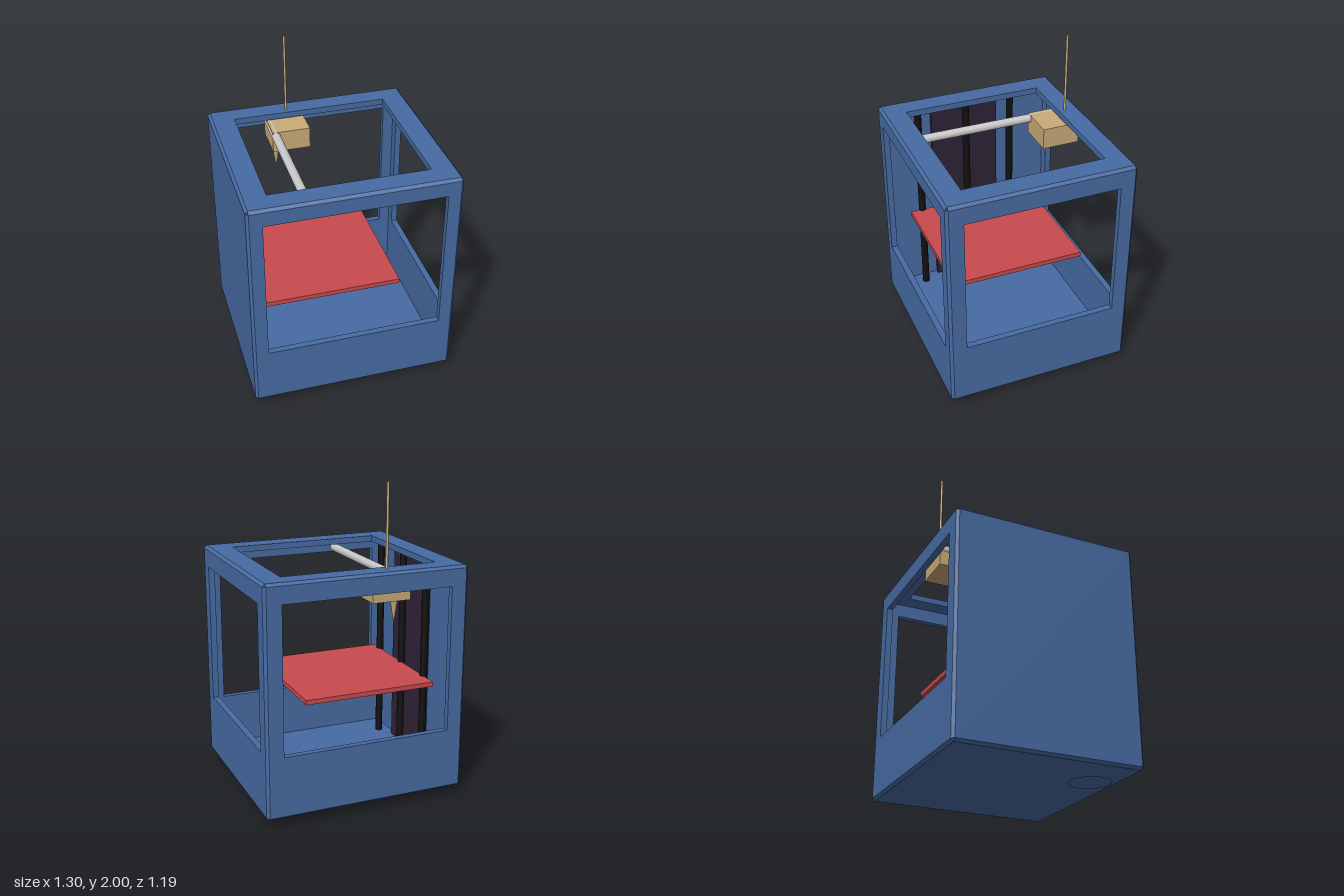
import * as THREE from 'three';

export function createModel() {
  const model = new THREE.Group();
  const mat = (name, color, side = THREE.FrontSide) => {
    const m = new THREE.MeshStandardMaterial({ color, side });
    m.name = name;
    return m;
  };
  const blue = mat('caseBlue', 0x476ba3);
  const red = mat('bedRed', 0xc94a4e);
  const tan = mat('headTan', 0xc9ab78);
  const black = mat('postBlack', 0x101010);
  const plum = mat('panelPlum', 0x2f2336);
  const silver = mat('rodSilver', 0xc8c8c8);

  const add = (name, geometry, material, x = 0, y = 0, z = 0, parent = model) => {
    const mesh = new THREE.Mesh(geometry, material);
    mesh.name = name;
    mesh.position.set(x, y, z);
    parent.add(mesh);
    return mesh;
  };

  // Hollow case: half sizes, wall thickness and edge chamfer
  const X = 0.65, Y = 0.72, Z = 0.597, T = 0.04, C = 0.017;
  const body = new THREE.Group();
  body.name = 'case';
  body.position.y = 0.77;
  model.add(body);

  // Wall plate in the xy plane, outer face at z = 0, with an optional window [x0, y0, x1, y1]
  const rectangle = (target, x0, y0, x1, y1) => {
    target.moveTo(x0, y0).lineTo(x1, y0).lineTo(x1, y1).lineTo(x0, y1).closePath();
    return target;
  };
  const wall = (name, w, h, hole) => {
    const shape = rectangle(new THREE.Shape(), -w + T, -h + T, w - T, h - T);
    if (hole) shape.holes.push(rectangle(new THREE.Path(), ...hole));
    const g = new THREE.ExtrudeGeometry(shape, { depth: T, bevelEnabled: false });
    g.translate(0, 0, -T);
    return add(name, g, blue, 0, 0, 0, body);
  };
  wall('frontWall', X, Y, [-0.555, -0.34, 0.555, 0.61]).position.z = Z;
  const back = wall('backWall', X, Y, [-0.54, -0.325, 0.54, 0.595]);
  back.position.z = -Z;
  back.rotation.y = Math.PI;
  const right = wall('windowSideWall', Z, Y, [-0.49, -0.31, 0.49, 0.59]);
  right.position.x = X;
  right.rotation.y = Math.PI / 2;
  const left = wall('solidSideWall', Z, Y);
  left.position.x = -X;
  left.rotation.y = -Math.PI / 2;
  const top = wall('topWall', X, Z, [-0.498, -0.45, 0.497, 0.455]);
  top.position.y = Y;
  top.rotation.x = -Math.PI / 2;
  const floor = wall('floor', X, Z);
  floor.position.y = -Y;
  floor.rotation.x = Math.PI / 2;

  // Chamfered bars along the twelve edges of the case
  const bar = (a, b, sa, sb, length) => {
    const points = [[a - T, b - T], [a, b - T], [a, b - C], [a - C, b], [a - T, b]]
      .map(([u, v]) => new THREE.Vector2(u * sa, v * sb));
    const depth = 2 * (length - C);
    const g = new THREE.ExtrudeGeometry(new THREE.Shape(points), { depth, bevelEnabled: false });
    return g.translate(0, 0, -depth / 2);
  };
  for (const s of [-1, 1]) {
    for (const t of [-1, 1]) {
      add('depthEdge', bar(X, Y, s, t, Z), blue, 0, 0, 0, body);
      add('widthEdge', bar(Z, Y, s, t, X), blue, 0, 0, 0, body).rotation.y = Math.PI / 2;
      add('uprightEdge', bar(X, Z, s, t, Y), blue, 0, 0, 0, body).rotation.x = Math.PI / 2;
    }
  }

  // Round foot pad under one corner
  add('footPad', new THREE.CircleGeometry(0.126, 32), blue, -0.444, 0, 0.35).rotation.x = Math.PI / 2;

  // Back panel and guide posts on the solid side
  add('guidePanel', new THREE.BoxGeometry(0.03, 1.36, 0.46), plum, -0.597, 0.77, 0.03);
  for (const z of [0.367, 0.036, -0.277]) {
    add('guidePost', new THREE.CylinderGeometry(0.0235, 0.0235, 1.36, 24), black, -0.535, 0.77, z);
  }

  // Build plate
  add('bed', new THREE.BoxGeometry(0.86, 0.03, 0.865), red, -0.1, 0.69, 0.0175);

  // Rail, carriage, nozzle and filament
  add('rail', new THREE.CylinderGeometry(0.0275, 0.0275, 1.12, 32), silver, -0.263, 1.41, 0)
    .rotation.x = Math.PI / 2;
  add('carriage', new THREE.BoxGeometry(0.245, 0.137, 0.245), tan, -0.1625, 1.3685, -0.4275);
  add('nozzle', new THREE.CylinderGeometry(0.028, 0.002, 0.17, 16), tan, -0.245, 1.215, -0.412);
  add('filament', new THREE.CylinderGeometry(0.008, 0.008, 0.57, 12), tan, -0.15, 1.715, -0.5);

  return model;
}
